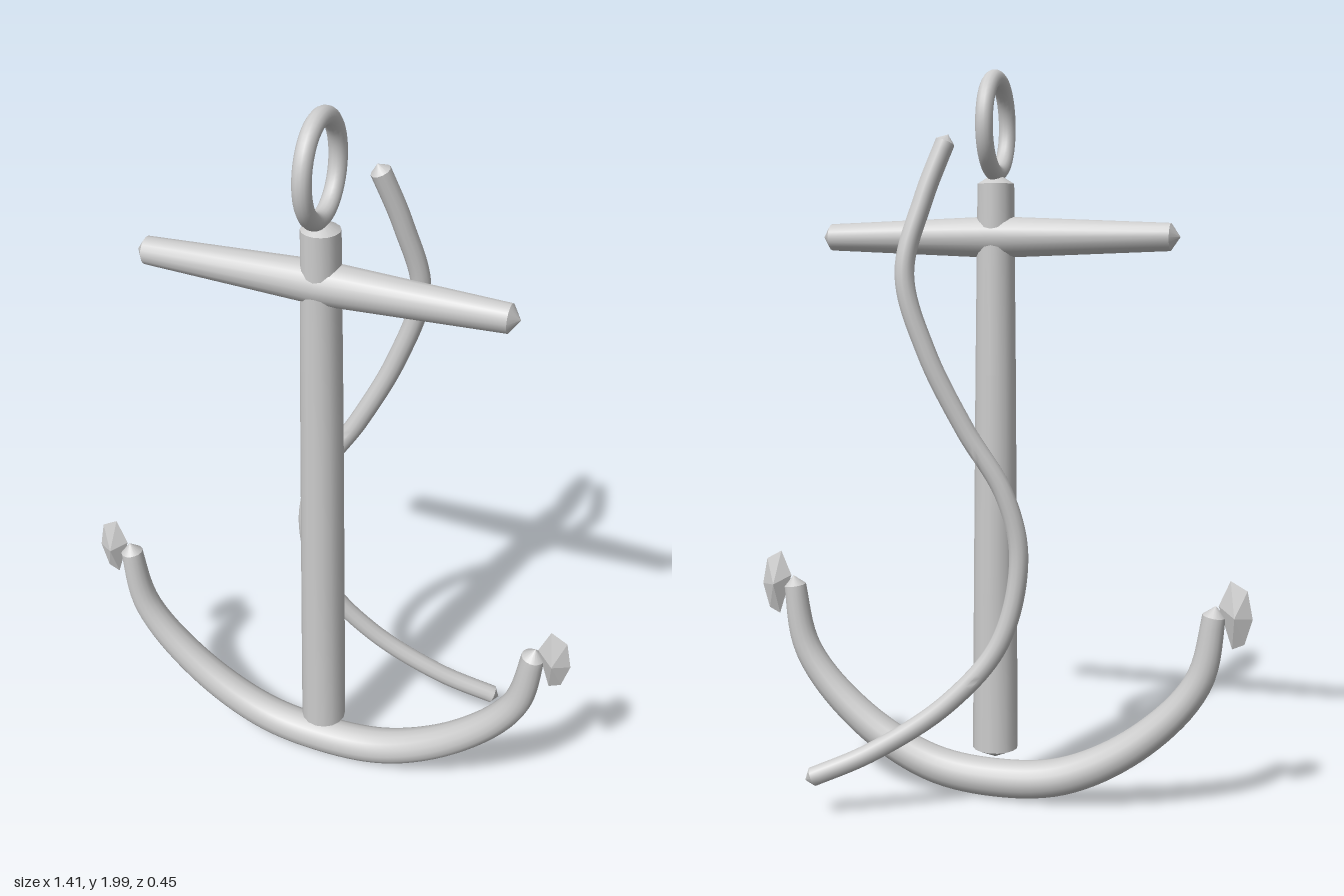
import * as THREE from 'three';
import { toCreasedNormals } from 'three/addons/utils/BufferGeometryUtils.js';

const Z = 0.095; // plane of the anchor
const iron = new THREE.MeshStandardMaterial({ color: 0xcccccc });
iron.name = 'pale grey iron';

const v = (x, y, z = Z) => new THREE.Vector3(x, y, z);

function part(name, geometry, parent) {
  const mesh = new THREE.Mesh(geometry, iron);
  mesh.name = name;
  parent.add(mesh);
  return mesh;
}

// Tube along a curve whose radius follows radiusAt(u), closed by a blunt cone at each end
function taperedTube(points, radiusAt, segments, sides = 16) {
  const curve = new THREE.CatmullRomCurve3(points);
  const geo = new THREE.TubeGeometry(curve, segments, 1, sides, false);
  const pos = geo.attributes.position;
  const p = new THREE.Vector3();
  for (let i = 0; i <= segments; i++) {
    const centre = curve.getPointAt(i / segments);
    const r = i === 0 || i === segments ? 0 : radiusAt(i / segments);
    for (let j = 0; j <= sides; j++) {
      const k = i * (sides + 1) + j;
      p.fromBufferAttribute(pos, k).sub(centre).multiplyScalar(r).add(centre);
      // the seam must meet exactly
      if (j === sides) p.fromBufferAttribute(pos, i * (sides + 1));
      pos.setXYZ(k, p.x, p.y, p.z);
    }
  }
  return toCreasedNormals(geo, 0.6);
}

// Lathe from [radius, height] pairs
function turned(profile, sides = 16) {
  const pts = profile.map(([r, y]) => new THREE.Vector2(r, y));
  return toCreasedNormals(new THREE.LatheGeometry(pts, sides), 0.5);
}

// Faceted blade: an outline rising to a peak on each face
function blade(outline, peak, halfDepth) {
  const corners = [];
  outline.forEach(([x, y], i) => {
    const [nx, ny] = outline[(i + 1) % outline.length];
    corners.push(v(nx, ny), v(x, y), v(...peak, Z + halfDepth));
    corners.push(v(x, y), v(nx, ny), v(...peak, Z - halfDepth));
  });
  const geo = new THREE.BufferGeometry().setFromPoints(corners);
  geo.computeVertexNormals();
  return geo;
}

export function createModel() {
  const anchor = new THREE.Group();
  anchor.name = 'anchor';

  // Upright shank, slightly thicker at the foot
  part('shank', turned([[0, 0.12], [0.063, 0.15], [0.06, 0.6], [0.055, 1.2], [0.049, 1.705], [0, 1.735]]), anchor)
    .position.z = Z;

  // Crossbar, tapering to both ends
  const stock = part('stock', turned([[0, -0.495], [0.036, -0.47], [0.055, 0], [0.036, 0.47], [0, 0.495]]), anchor);
  stock.rotation.z = Math.PI / 2;
  stock.position.set(0, 1.565, Z);

  // Oval ring standing across the crossbar
  const ringPoints = [];
  for (let i = 0; i < 24; i++) {
    const a = (i / 24) * Math.PI * 2;
    ringPoints.push(v(0, 1.855 + 0.122 * Math.sin(a), Z + 0.109 * Math.cos(a)));
  }
  part('ring', new THREE.TubeGeometry(new THREE.CatmullRomCurve3(ringPoints, true), 48, 0.023, 14, true), anchor);

  // Curved arms in one sweep
  const half = [[0.2, 0.085], [0.41, 0.205], [0.565, 0.385], [0.608, 0.6]];
  const armPoints = [...half.map(([x, y]) => v(-x, y)).reverse(), v(0, 0.058), ...half.map(([x, y]) => v(x, y))];
  part('arms', taperedTube(armPoints, (u) => 0.03 + 0.023 * Math.sin(Math.PI * u), 64), anchor);

  // Pointed flukes on the arm tips
  const outline = [[0.645, 0.67], [0.69, 0.645], [0.705, 0.57], [0.685, 0.5], [0.653, 0.485], [0.615, 0.6]];
  part('leftFluke', blade([...outline], [0.66, 0.575], 0.028), anchor);
  part('rightFluke', blade(outline.map(([x, y]) => [-x, y]).reverse(), [-0.66, 0.575], 0.028), anchor);

  // Loose rope winding down behind the shank
  const rope = [
    [0.085, 1.825, -0.05], [0.14, 1.66, -0.09], [0.18, 1.47, -0.125], [0.125, 1.27, -0.115],
    [0.03, 1.07, -0.088], [-0.07, 0.9, -0.065], [-0.107, 0.73, -0.052], [-0.06, 0.5, -0.065],
    [0.075, 0.33, -0.1], [0.275, 0.19, -0.15], [0.45, 0.11, -0.2],
  ];
  part('rope', taperedTube(rope.map((p) => v(...p)), () => 0.026, 100, 12), anchor);

  return anchor;
}
